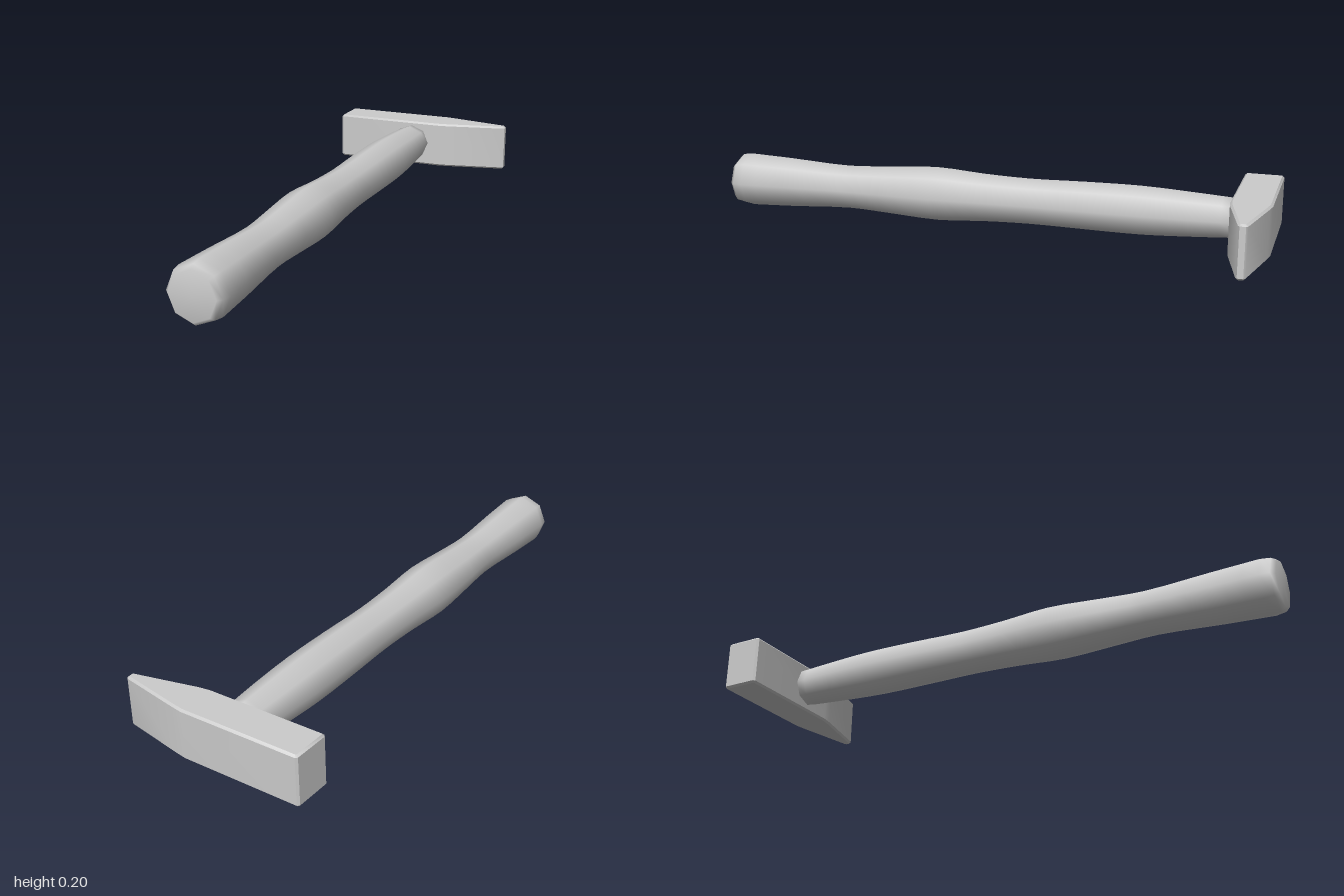
import * as THREE from 'three';
import { mergeVertices, toCreasedNormals } from 'three/addons/utils/BufferGeometryUtils.js';

const material = new THREE.MeshStandardMaterial({ color: 0xcccccc });

// Handle stations from butt to head: z, centre x, half width, centre y, half height
const STATIONS = [
  [0.95, -0.002, 0.099, 0.103, 0.100],
  [0.78, -0.005, 0.091, 0.103, 0.093],
  [0.55, -0.010, 0.080, 0.103, 0.081],
  [0.40, -0.014, 0.087, 0.103, 0.088],
  [0.20, -0.018, 0.096, 0.104, 0.099],
  [0.02, -0.020, 0.087, 0.104, 0.088],
  [-0.15, -0.022, 0.082, 0.104, 0.083],
  [-0.35, -0.025, 0.086, 0.105, 0.086],
  [-0.55, -0.028, 0.087, 0.105, 0.087],
  [-0.72, -0.030, 0.081, 0.105, 0.079],
  [-0.88, -0.033, 0.071, 0.105, 0.069],
];

// Octagonal rings lofted along the handle, closed by a fan at each end
function createHandle() {
  const sides = 8, rows = 30;
  const curve = (a, b, c) => new THREE.CatmullRomCurve3(STATIONS.map(s => new THREE.Vector3(s[a], s[b], s[c])));
  const centre = curve(0, 1, 3), size = curve(0, 2, 4);
  const rings = [
    [1.0, -0.003, 0.080, 0.103, 0.082],
    [0.985, -0.003, 0.094, 0.103, 0.095],
  ];
  for (let i = 0; i <= rows; i++) {
    const c = centre.getPoint(i / rows), s = size.getPoint(i / rows);
    rings.push([c.x, c.y, s.y, c.z, s.z]);
  }

  const positions = [], index = [];
  for (const [z, cx, rx, cy, ry] of rings) {
    for (let k = 0; k < sides; k++) {
      const a = k / sides * Math.PI * 2;
      positions.push(cx + rx * Math.cos(a), cy + ry * Math.sin(a), z);
    }
  }
  const last = rings.length - 1, butt = rings.length * sides;
  for (const [z, cx, , cy] of [rings[0], rings[last]]) positions.push(cx, cy, z);
  for (let k = 0; k < sides; k++) {
    const n = (k + 1) % sides;
    for (let r = 0; r < last; r++) {
      const a = r * sides + k, b = r * sides + n;
      index.push(a, a + sides, b, b, a + sides, b + sides);
    }
    index.push(butt, k, n, butt + 1, last * sides + n, last * sides + k);
  }
  const geometry = new THREE.BufferGeometry();
  geometry.setAttribute('position', new THREE.Float32BufferAttribute(positions, 3));
  geometry.setIndex(index);
  geometry.computeVertexNormals();
  return geometry;
}

// Plan of the head: square striking face on the right, wedge on the left
function createHead() {
  const plan = [
    [-0.343, 0.857], [0.08, 0.862], [0.12, 0.868], [0.342, 0.922], [0.35, 0.928],
    [0.35, 0.948], [0.342, 0.954], [0.12, 0.994], [0.08, 1.0], [-0.343, 0.995],
    [-0.35, 0.988], [-0.35, 0.864],
  ].map(([x, d]) => new THREE.Vector2(x, d));
  const bevel = 0.007, bottom = 0.011, top = 0.191;
  const geometry = new THREE.ExtrudeGeometry(new THREE.Shape(plan), {
    depth: top - bottom - 2 * bevel, bevelEnabled: true, bevelSegments: 1,
    bevelSize: bevel, bevelThickness: bevel, bevelOffset: -bevel,
  });
  geometry.rotateX(-Math.PI / 2).translate(0, bottom + bevel, 0);
  geometry.deleteAttribute('uv');
  geometry.deleteAttribute('normal');
  return toCreasedNormals(mergeVertices(geometry), 0.7);
}

export function createModel() {
  const group = new THREE.Group();
  group.name = 'hammer';
  const parts = { handle: createHandle(), head: createHead() };
  for (const [name, geometry] of Object.entries(parts)) {
    const mesh = new THREE.Mesh(geometry, material);
    mesh.name = name;
    group.add(mesh);
  }
  return group;
}
